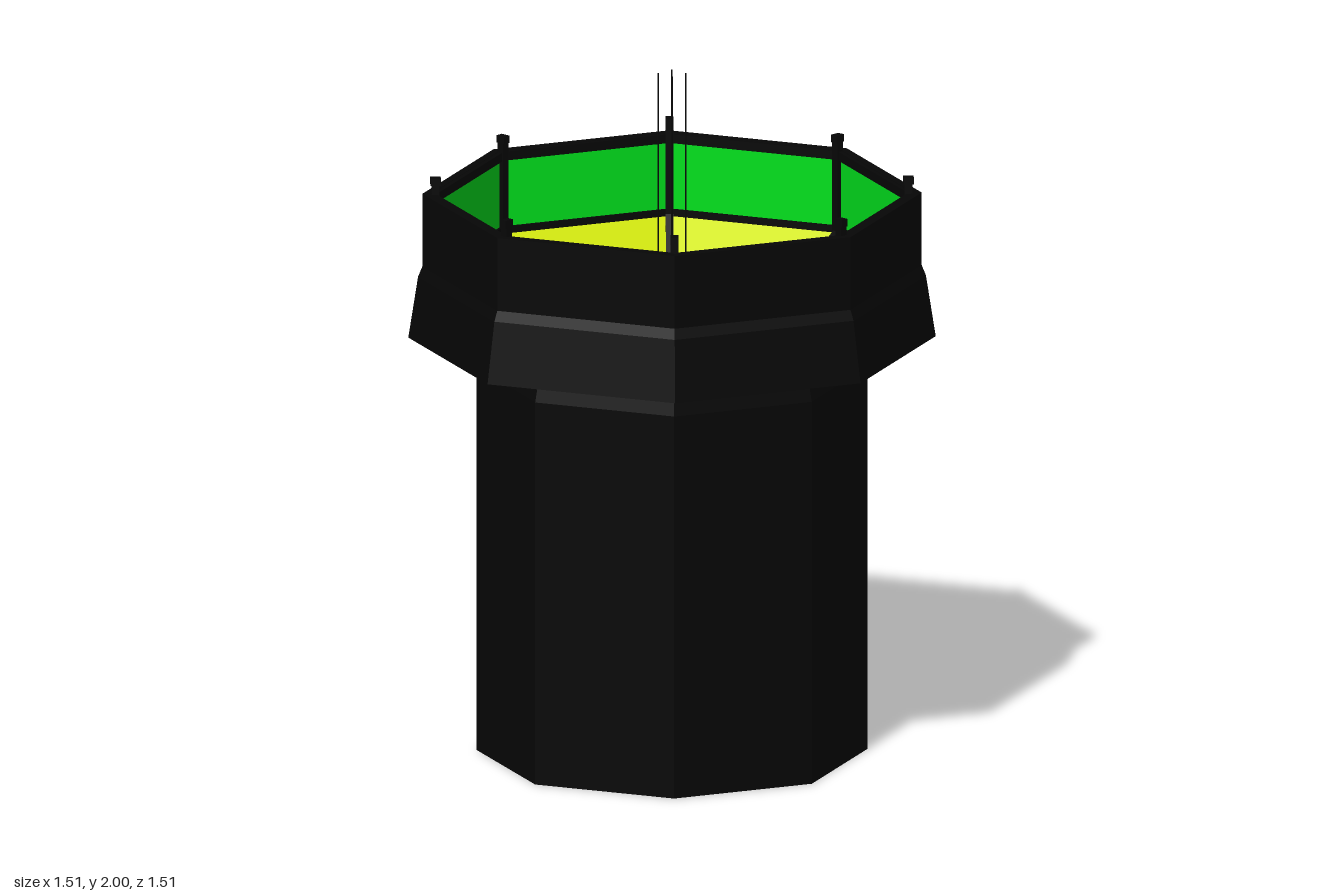
import * as THREE from 'three';

const SIDES = 8;
const mat = (color) => new THREE.MeshStandardMaterial({ color, flatShading: true, side: THREE.DoubleSide });

export function createModel() {
  const model = new THREE.Group();
  const black = mat(0x060606), yellow = mat(0xcfe400), green = mat(0x00e01c), grey = mat(0xcccccc);

  const add = (geometry, material, name, parent = model) => {
    const mesh = new THREE.Mesh(geometry, material);
    mesh.name = name;
    parent.add(mesh);
    return mesh;
  };
  // Eight-sided ring swept from [radius, height] pairs, corners on the axes
  const ring = (name, material, points) =>
    add(new THREE.LatheGeometry(points.map(([r, y]) => new THREE.Vector2(r, y)), SIDES), material, name);
  // Ring-shaped frame bar with a rectangular section
  const ringBar = (name, r, y, w, h) => ring(name, black, [
    [r - w / 2, y - h / 2], [r + w / 2, y - h / 2], [r + w / 2, y + h / 2],
    [r - w / 2, y + h / 2], [r - w / 2, y - h / 2]]);

  // Hollow shaft with a slightly tapered top
  ring('shaft', black, [[0.352, 0], [0.56, 0], [0.56, 1.13], [0.534, 1.245], [0.5, 1.22],
    [0.365, 1.15], [0.352, 0]]);

  // Upper collar with its flared skirt
  ring('collar', black, [[0.735, 1.22], [0.755, 1.22], [0.727, 1.4], [0.715, 1.43], [0.715, 1.645],
    [0.69, 1.645], [0.69, 1.4], [0.735, 1.22]]);

  // Inner wall panels and the two sloping rings of the funnel
  const top = [0.688, 1.4], middle = [0.488, 1.238], bottom = [0.365, 1.163];
  ring('wallPanels', green, [[0.685, 1.635], [0.685, 1.4]]);
  ring('outerFunnelPanels', yellow, [middle, top]);
  ring('innerFunnelPanels', yellow, [bottom, middle]);

  // Frame bars around the rings
  ringBar('rimBar', 0.69, 1.631, 0.03, 0.026);
  ringBar('wallBaseBar', 0.685, 1.412, 0.018, 0.02);
  ringBar('funnelMiddleBar', 0.488, 1.25, 0.026, 0.016);
  ringBar('funnelBottomBar', 0.371, 1.172, 0.02, 0.016);

  // Frame bars along each corner
  for (let i = 0; i < SIDES; i++) {
    const corner = new THREE.Group();
    corner.name = 'cornerFrame';
    corner.rotation.y = (i * Math.PI * 2) / SIDES;
    const bar = (name, [r0, y0], [r1, y1]) => {
      const dx = r1 - r0, dy = y1 - y0;
      const mesh = add(new THREE.BoxGeometry(Math.hypot(dx, dy), 0.016, 0.022), black, name, corner);
      mesh.position.set((r0 + r1) / 2, (y0 + y1) / 2 + 0.012, 0);
      mesh.rotation.z = Math.atan2(dy, dx);
    };
    bar('outerFunnelRib', middle, top);
    bar('innerFunnelRib', bottom, middle);
    add(new THREE.BoxGeometry(0.022, 0.27, 0.022), black, 'wallPost', corner).position.set(0.677, 1.545, 0);
    add(new THREE.BoxGeometry(0.03, 0.022, 0.022), black, 'postCap', corner).position.set(0.677, 1.682, 0);
    model.add(corner);
  }

  // Hanging car with a round hub, held by four cables
  add(new THREE.BoxGeometry(0.16, 0.16, 0.16), grey, 'car').position.y = 0.75;
  const hub = add(new THREE.CylinderGeometry(0.058, 0.058, 0.08, SIDES), black, 'carHub');
  hub.position.y = 0.87;
  for (let i = 0; i < 4; i++) {
    const a = (i * Math.PI) / 2;
    add(new THREE.CylinderGeometry(0.0025, 0.0025, 1.1, 6), black, 'cable')
      .position.set(0.04 * Math.cos(a), 1.45, 0.04 * Math.sin(a));
  }
  return model;
}
